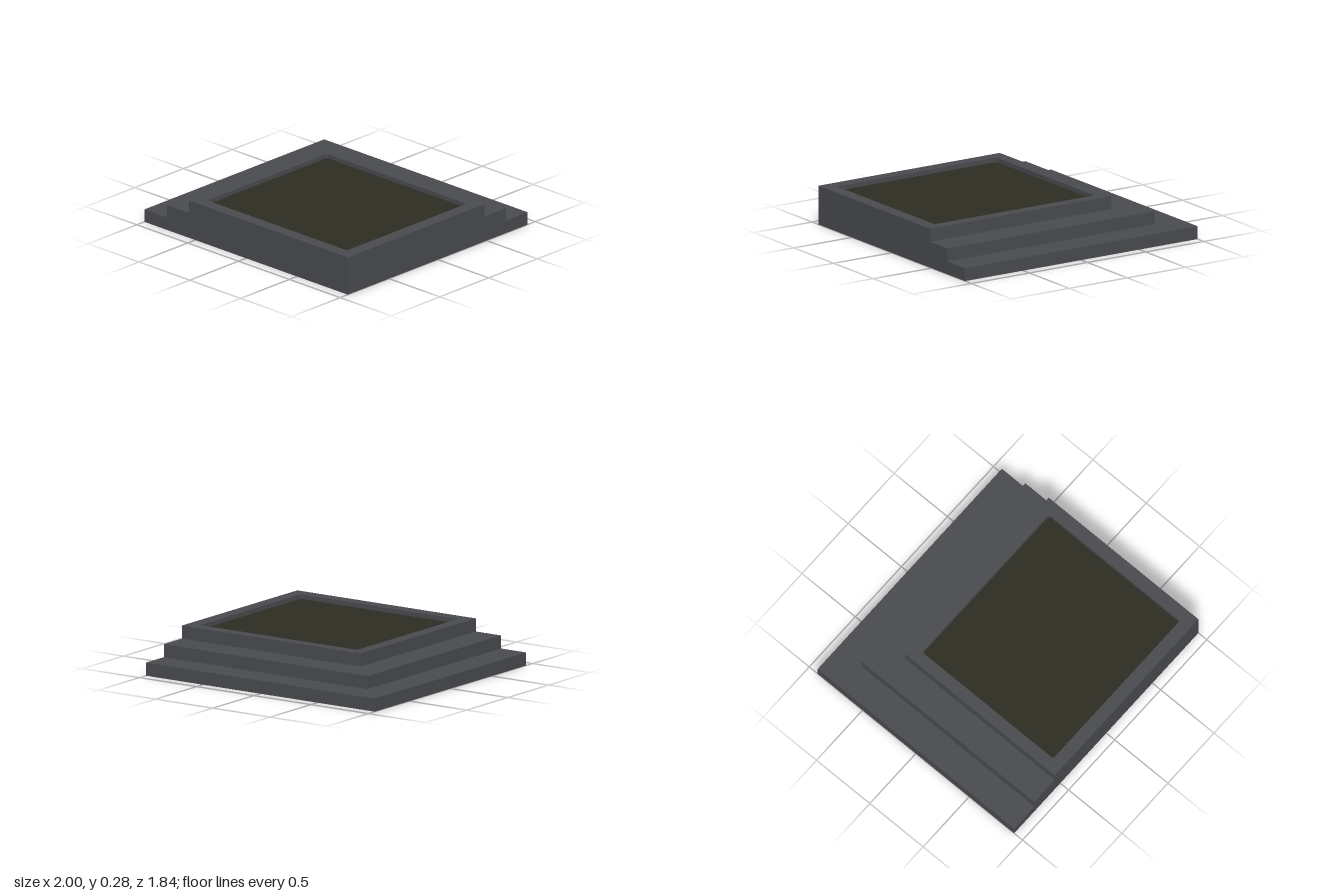
import * as THREE from 'three';

const stone = new THREE.MeshStandardMaterial({ color: 0x484a4e });
stone.name = 'slate grey';
const fill = new THREE.MeshStandardMaterial({ color: 0x2e2d23 });
fill.name = 'dark olive';

// Box given by its limits on each axis
function slab(name, material, x0, x1, y0, y1, z0, z1) {
  const mesh = new THREE.Mesh(new THREE.BoxGeometry(x1 - x0, y1 - y0, z1 - z0), material);
  mesh.position.set((x0 + x1) / 2, (y0 + y1) / 2, (z0 + z1) / 2);
  mesh.name = name;
  return mesh;
}

// Closed outline in plan, with small cut corners when c > 0 (shape y is -z)
function outline(Type, x0, x1, z0, z1, c = 0) {
  const points = [
    [x0 + c, -z1], [x1 - c, -z1], [x1, -z1 + c], [x1, -z0 - c],
    [x1 - c, -z0], [x0 + c, -z0], [x0, -z0 - c], [x0, -z1 + c],
  ].map(([x, y]) => new THREE.Vector2(x, y));
  return new Type(c > 0 ? points : [points[0], points[1], points[4], points[5]]);
}

export function createModel() {
  const model = new THREE.Group();
  model.name = 'steppedCornerPlatform';
  const right = 1, front = 0.922, rise = 0.095, tread = 0.22;

  // Two lower steps, set back on the left and rear sides only
  ['lowerStep', 'middleStep'].forEach((name, i) => {
    model.add(slab(name, stone, -right + i * tread, right, i * rise, (i + 1) * rise,
      -front + i * tread, front));
  });

  // Upper step is a frame around the recess
  const hole = [-0.47, 0.903, -0.397, 0.83];
  const frame = outline(THREE.Shape, -right + 2 * tread, right, -front + 2 * tread, front);
  frame.holes.push(outline(THREE.Path, ...hole, 0.012));
  const frameGeometry = new THREE.ExtrudeGeometry(frame, { depth: rise, bevelEnabled: false });
  frameGeometry.rotateX(-Math.PI / 2);
  const upperStep = new THREE.Mesh(frameGeometry, stone);
  upperStep.position.y = 2 * rise;
  upperStep.name = 'upperStepFrame';
  model.add(upperStep);

  // Sunken floor inside the frame
  const [x0, x1, z0, z1] = hole;
  model.add(slab('recessFloor', fill, x0, x1, 2 * rise, 0.253, z0, z1));
  return model;
}
